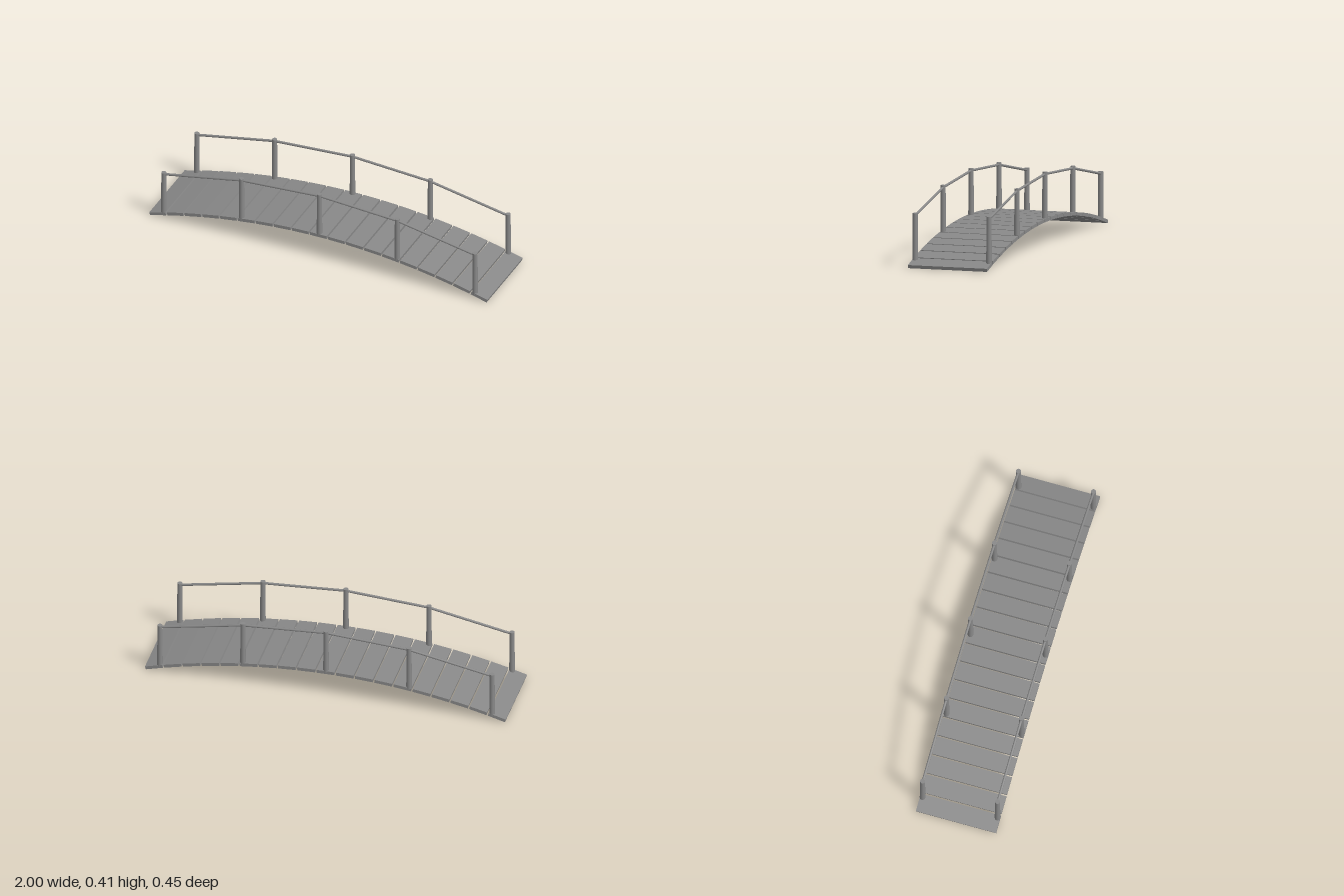
import * as THREE from 'three';

const R = 3.59;        // radius of the arched deck surface
const CROWN = 0.159;   // deck height at midspan
const RAIL_Z = 0.209;

// height of the deck surface at x
const deckY = (x) => CROWN - R + Math.sqrt(R * R - x * x);

export function createModel() {
  const group = new THREE.Group();
  const grey = new THREE.MeshStandardMaterial({ color: 0x888888 });
  grey.name = 'plain grey';

  const add = (geometry, name) => {
    const mesh = new THREE.Mesh(geometry, grey);
    mesh.name = name;
    group.add(mesh);
    return mesh;
  };

  // Planks laid along the arc, each turned to follow it
  const thickness = 0.018;
  const step = Math.asin(0.952 / R) / 9;
  const plankGeometry = new THREE.BoxGeometry(0.098, thickness, 0.447);
  for (let i = -9; i <= 9; i++) {
    const a = i * step;
    const r = R - thickness / 2;
    const plank = add(plankGeometry, 'plank');
    plank.position.set(r * Math.sin(a), CROWN - R + r * Math.cos(a), 0);
    plank.rotation.z = -a;
  }

  // Tapered posts and the straight rails between them, on both sides
  const postXs = [-0.92, -0.46, 0, 0.46, 0.92];
  const postGeometry = new THREE.CylinderGeometry(0.0135, 0.0155, 0.262, 20);
  const up = new THREE.Vector3(0, 1, 0);
  for (const z of [-RAIL_Z, RAIL_Z]) {
    const joints = postXs.map((x) => {
      const top = deckY(x) + 0.25;
      add(postGeometry, 'post').position.set(x, top - 0.131, z);
      return new THREE.Vector3(x, top - 0.012, z);
    });
    for (let i = 0; i < joints.length - 1; i++) {
      const span = joints[i + 1].clone().sub(joints[i]);
      const rail = add(new THREE.CylinderGeometry(0.0068, 0.0068, span.length(), 12), 'handrail');
      rail.position.copy(joints[i]).addScaledVector(span, 0.5);
      rail.quaternion.setFromUnitVectors(up, span.normalize());
    }
  }

  return group;
}
